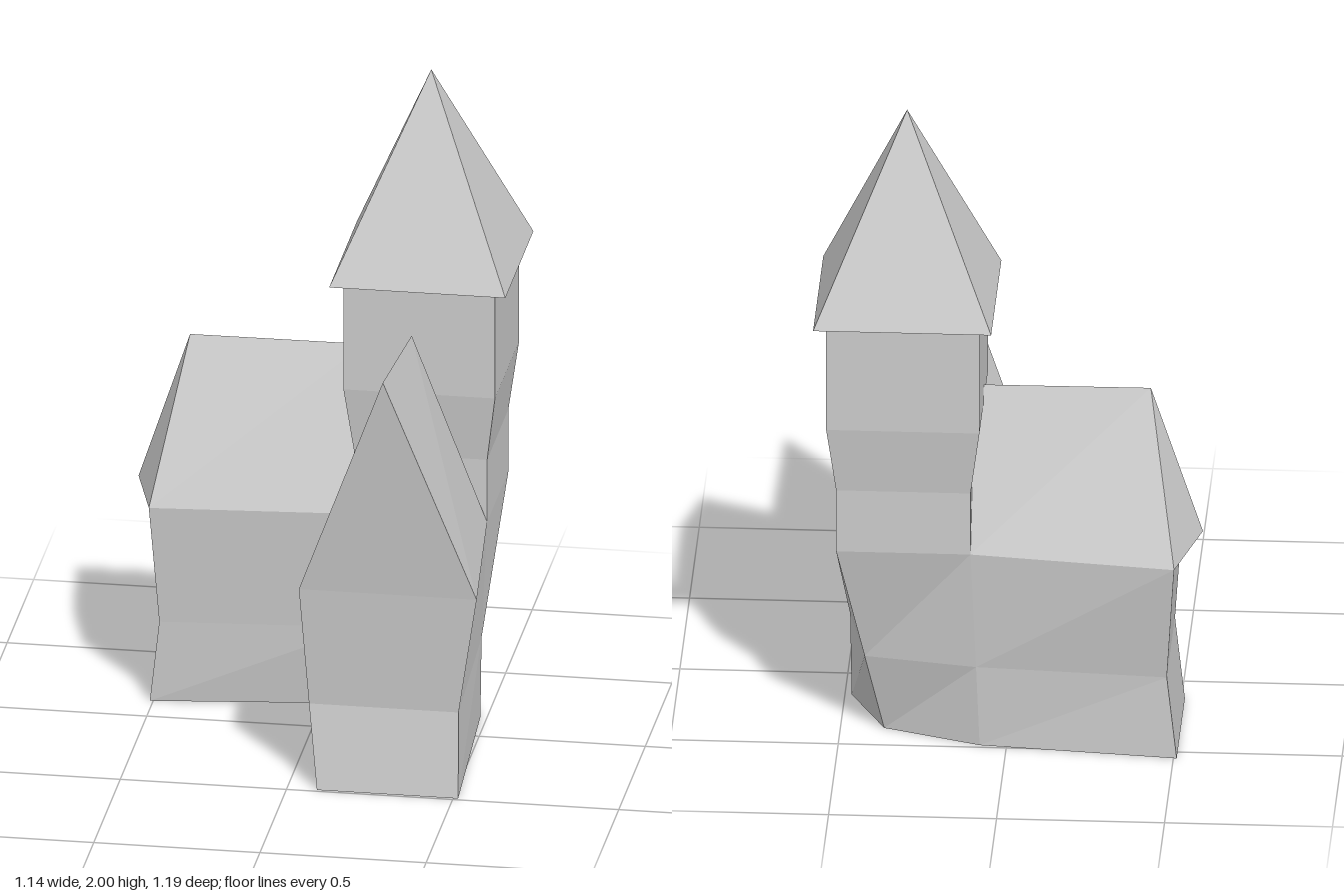
import * as THREE from 'three';

const material = new THREE.MeshStandardMaterial({ color: 0xcccccc, flatShading: true, side: THREE.DoubleSide });

function addMesh(group, name, geometry) {
  const mesh = new THREE.Mesh(geometry, material);
  mesh.name = name;
  group.add(mesh);
  return mesh;
}

// Flat-shaded geometry from polygons, each a list of [x, y, z] corners, fanned into triangles
function fromPolygons(polygons) {
  const positions = [];
  for (const p of polygons) {
    for (let i = 1; i < p.length - 1; i++) positions.push(...p[0], ...p[i], ...p[i + 1]);
  }
  const geometry = new THREE.BufferGeometry();
  geometry.setAttribute('position', new THREE.Float32BufferAttribute(positions, 3));
  geometry.computeVertexNormals();
  return geometry;
}

// Walls through stacked outlines { y, outline: [[x, z], ...] }, counterclockwise seen from above
function stackWalls(levels) {
  const polygons = [];
  for (let k = 0; k < levels.length - 1; k++) {
    const lo = levels[k].outline.map(([x, z]) => [x, levels[k].y, z]);
    const hi = levels[k + 1].outline.map(([x, z]) => [x, levels[k + 1].y, z]);
    lo.forEach((a, i) => {
      const j = (i + 1) % lo.length;
      polygons.push([a, lo[j], hi[j], hi[i]]);
    });
  }
  return fromPolygons(polygons);
}

const TOWER_X = 0.305, TOWER_Z = -0.32;

function towerOutline(half) {
  return [[1, 1], [1, -1], [-1, -1], [-1, 1]].map(([sx, sz]) => [TOWER_X + sx * half, TOWER_Z + sz * half]);
}

export function createModel() {
  const model = new THREE.Group();
  model.name = 'house';

  // L-shaped walls, pinched at mid height, open underneath
  // Order: tower corners SE, NE, NW, side wing end, inner corner, front wing end
  addMesh(model, 'walls', stackWalls([
    { y: 0, outline: [[0.48, -0.15], [0.37, -0.38], [0.08, -0.485], [-0.51, -0.545],
      [-0.51, -0.12], [0.13, -0.2], [0.09, 0.49], [0.515, 0.49]] },
    { y: 0.26, outline: [[0.485, -0.14], [0.425, -0.435], [0.09, -0.495], [-0.48, -0.535],
      [-0.48, -0.11], [0.12, -0.16], [0.06, 0.45], [0.51, 0.45]] },
    { y: 0.64, outline: [[0.505, -0.12], [0.505, -0.52], [0.105, -0.52], [-0.505, -0.595],
      [-0.505, -0.07], [0.105, -0.12], [0.035, 0.485], [0.57, 0.485]] },
  ]));

  // Tower shaft flaring towards the top
  addMesh(model, 'towerShaft', stackWalls([
    { y: 0.64, outline: towerOutline(0.2) },
    { y: 0.84, outline: towerOutline(0.2) },
    { y: 1.05, outline: towerOutline(0.228) },
    { y: 1.39, outline: towerOutline(0.228) },
  ]));

  // Four-sided tower roof with a closed underside
  const spire = new THREE.ConeGeometry(0.265 * Math.SQRT2, 0.61, 4);
  spire.rotateY(Math.PI / 4);
  addMesh(model, 'towerRoof', spire).position.set(TOWER_X, 1.695, TOWER_Z);

  // Front wing roof: gable leaning forward, hip sloping back to the tower
  const frontPeak = [0.305, 1.365, 0.595], backPeak = [0.305, 1.295, 0.05];
  const frontL = [0.57, 0.64, 0.485], frontR = [0.035, 0.64, 0.485];
  const backL = [0.505, 0.64, -0.12], backR = [0.105, 0.64, -0.12];
  addMesh(model, 'frontWingRoof', fromPolygons([
    [frontR, frontL, frontPeak],
    [frontL, backL, backPeak, frontPeak],
    [backR, frontR, frontPeak, backPeak],
    [backL, backR, backPeak],
  ]));

  // Side wing roof: end split by a pointed overhang at the eave
  const endPeak = [-0.42, 1.105, -0.315], towerPeak = [0.105, 1.105, -0.32];
  const tip = [-0.575, 0.64, -0.315];
  const endBack = [-0.505, 0.64, -0.595], endFront = [-0.505, 0.64, -0.07];
  const towerBack = [0.105, 0.64, -0.52], towerFront = [0.105, 0.64, -0.12];
  addMesh(model, 'sideWingRoof', fromPolygons([
    [endFront, towerFront, towerPeak, endPeak],
    [towerBack, endBack, endPeak, towerPeak],
    [endBack, tip, endPeak],
    [tip, endFront, endPeak],
    [endBack, endFront, tip],
  ]));

  return model;
}
